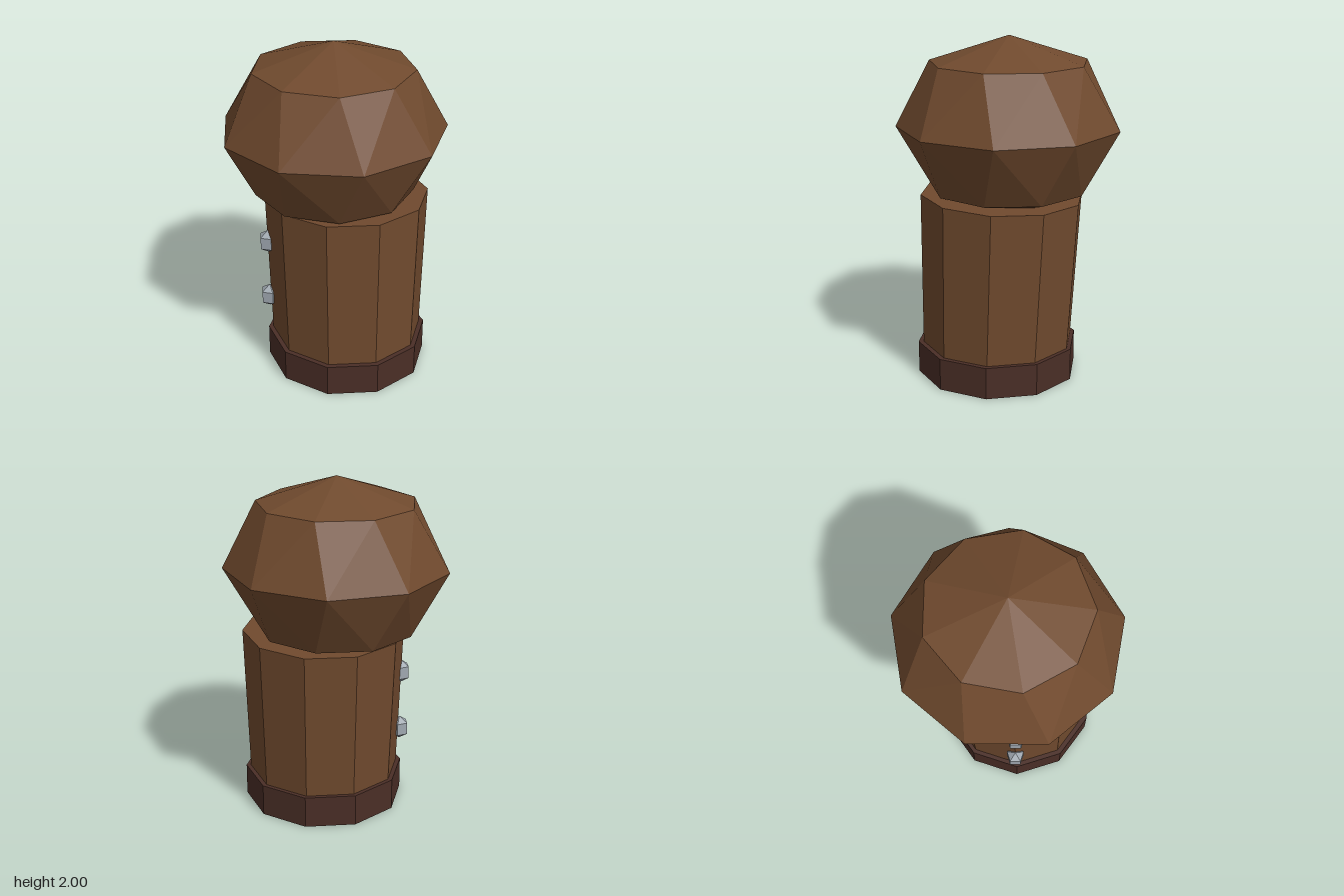
import * as THREE from 'three';
import { ConvexGeometry } from 'three/addons/geometries/ConvexGeometry.js';

const wood = new THREE.MeshStandardMaterial({ color: 0x704a2e });
const darkWood = new THREE.MeshStandardMaterial({ color: 0x4a2e26 });
const metal = new THREE.MeshStandardMaterial({ color: 0xa0a8b0 });
wood.name = 'wood';
darkWood.name = 'dark wood';
metal.name = 'metal';

// Faceted normals for a low-poly look
function facet(geometry) {
  const flat = geometry.toNonIndexed();
  flat.computeVertexNormals();
  return flat;
}

function addPart(parent, name, geometry, material, x, y, z) {
  const mesh = new THREE.Mesh(geometry, material);
  mesh.name = name;
  mesh.position.set(x, y, z);
  parent.add(mesh);
  return mesh;
}

// Ten-sided drum standing on y = 0 with a corner on +x
function drum(topRadius, bottomRadius, height) {
  const g = new THREE.CylinderGeometry(topRadius, bottomRadius, height, 10, 1, false, Math.PI / 2);
  return facet(g.translate(0, height / 2, 0));
}

// Nine-sided knob: two poles and three rings, the middle ring twisted
function knob() {
  const points = [new THREE.Vector3(0, 0.52, 0), new THREE.Vector3(0, -0.52, 0)];
  const rings = [[0.37, 0.464, 10], [0, 0.656, 0], [-0.37, 0.464, 10]];
  for (const [y, r, twist] of rings) {
    for (let i = 0; i < 9; i++) {
      const a = THREE.MathUtils.degToRad(i * 40 + twist);
      points.push(new THREE.Vector3(r * Math.cos(a), y, r * Math.sin(a)));
    }
  }
  return new ConvexGeometry(points);
}

export function createModel() {
  const model = new THREE.Group();
  model.name = 'post';

  addPart(model, 'base', drum(0.4775, 0.4775, 0.19), darkWood, 0.053, 0, 0.0625);

  // Shaft flares upward and leans slightly back
  const shaft = addPart(model, 'shaft', drum(0.478, 0.447, 0.99), wood, 0.053, 0.1, 0.063);
  shaft.rotation.x = -0.033;

  addPart(model, 'head', knob(), wood, -0.02, 1.48, 0);

  // Studs on the side edge of the shaft
  const stud = facet(new THREE.SphereGeometry(0.073, 5, 3, Math.PI).scale(0.87, 1, 0.87));
  for (const [name, y] of [['lowerStud', 0.414], ['upperStud', 0.787]]) {
    addPart(model, name, stud, metal, -0.413, y, 0.05);
  }
  return model;
}
